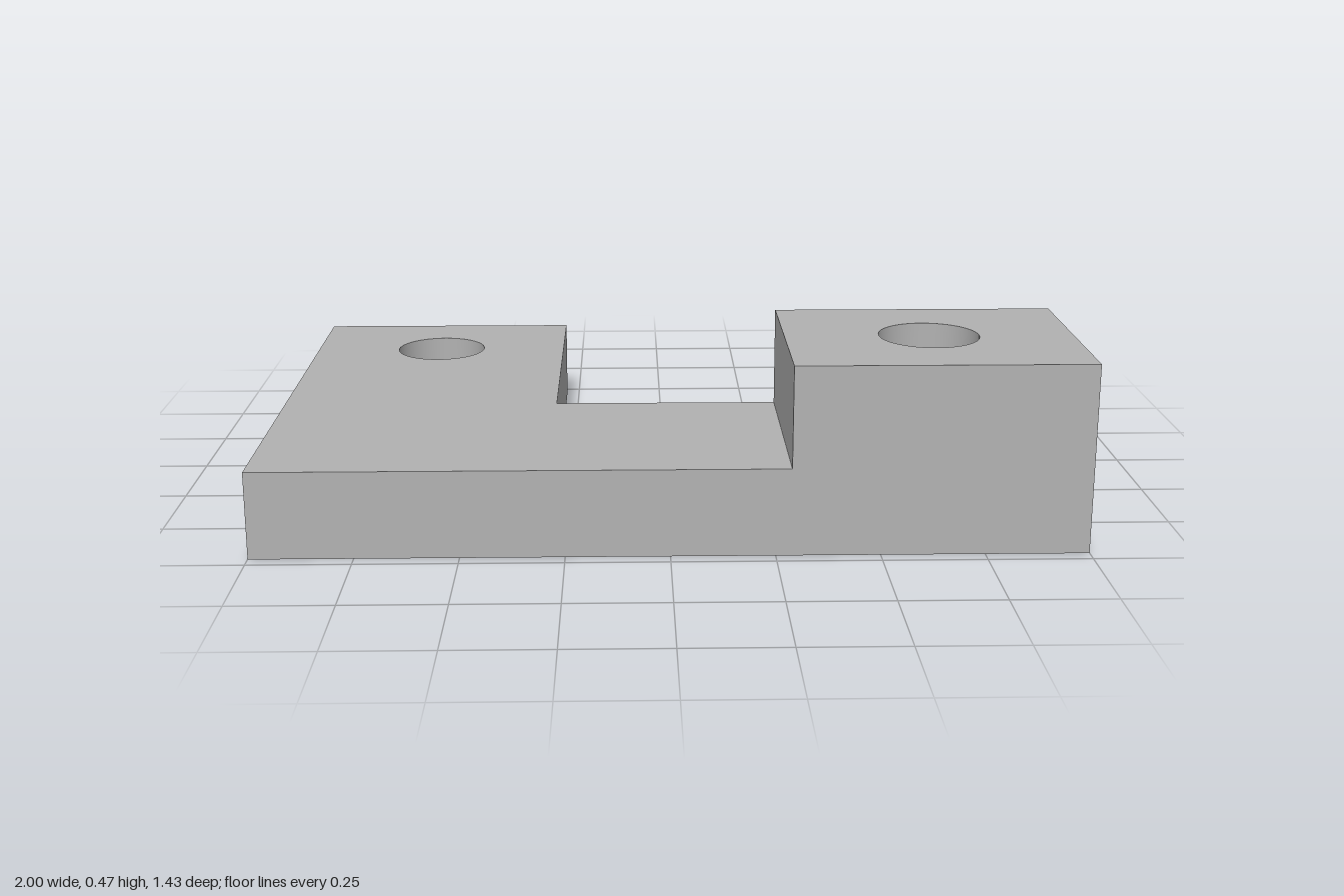
import * as THREE from 'three';
import { mergeGeometries } from 'three/addons/utils/BufferGeometryUtils.js';

// Main dimensions
const W = 1, D = 0.713;            // half width and half depth
const STEP = 0.286;                // inner edge of both arms in x
const CUT = 0.15;                  // back edge of the front arm in z
const PLATE = 0.216, TOP = 0.466;  // heights of plate and raised block
const POCKET = 0.25;               // depth of the hexagonal nut pocket
const R = 0.124, HEX = 0.235;      // bolt hole and pocket radii
const HOLE_A = [-0.643, -0.433], HOLE_B = [0.643, 0.427];

// Points of a circle or polygon in x, z, first corner towards +z
const ring = ([x, z], r, n) => Array.from({ length: n }, (_, i) => {
  const a = (i / n) * Math.PI * 2;
  return [x + r * Math.sin(a), z + r * Math.cos(a)];
});

// Flat face from an outline and holes, with the second coordinate scaled by s
function face(outline, holes = [], s = 1) {
  const v = (pts) => pts.map(([a, b]) => new THREE.Vector2(a, b * s));
  const shape = new THREE.Shape(v(outline));
  shape.holes = holes.map((h) => new THREE.Path(v(h)));
  return new THREE.ShapeGeometry(shape);
}
const faceUp = (y, outline, holes) => face(outline, holes, -1).rotateX(-Math.PI / 2).translate(0, y, 0);
const faceDown = (y, outline, holes) => face(outline, holes).rotateX(Math.PI / 2).translate(0, y, 0);

// Upright side wall looking along +x (dir 1) or -x (dir -1)
const sideWall = (x, z0, z1, y0, y1, dir) => new THREE.PlaneGeometry(z1 - z0, y1 - y0)
  .rotateY(dir * Math.PI / 2).translate(x, (y0 + y1) / 2, (z0 + z1) / 2);

// Inward-facing wall of a hole; profile runs downwards
const bore = ([x, z], r, y0, y1, n) => new THREE.LatheGeometry(
  [new THREE.Vector2(r, y1), new THREE.Vector2(r, y0)], n).translate(x, 0, z);

// Side profile with the raised block, starting at x0
const stepped = (x0) => [[x0, 0], [W, 0], [W, TOP], [STEP, TOP], [STEP, PLATE], [x0, PLATE]];

export function createModel() {
  const group = new THREE.Group();
  group.name = 'bracket';
  const grey = new THREE.MeshStandardMaterial({ color: 0xb2b2b2 });
  grey.name = 'grey';

  const add = (name, parts) => {
    const mesh = new THREE.Mesh(mergeGeometries(parts.map((g) => (g.index ? g.toNonIndexed() : g))), grey);
    mesh.name = name;
    group.add(mesh);
  };

  const roundA = ring(HOLE_A, R, 48), roundB = ring(HOLE_B, R, 48), hex = ring(HOLE_B, HEX, 6);
  const corner = [[-W, D], [-W, -D], [-STEP, -D], [-STEP, CUT]];

  // Six flat pocket walls
  const pocketWalls = bore(HOLE_B, HEX, 0, POCKET, 6).toNonIndexed();
  pocketWalls.computeVertexNormals();

  // One closed body: L-shaped plate with a raised block on the left arm
  add('bracketBody', [
    faceDown(0, [...corner, [W, CUT], [W, D]], [roundA, hex]),                 // underside
    faceUp(PLATE, [...corner, [STEP, CUT], [STEP, D]], [roundA]),              // plate top
    faceUp(TOP, [[STEP, CUT], [W, CUT], [W, D], [STEP, D]], [roundB]),         // block top
    face(stepped(-W)).translate(0, 0, D),                                      // front
    face(stepped(-STEP).map(([x, y]) => [-x, y])).rotateY(Math.PI).translate(0, 0, CUT), // arm back
    new THREE.PlaneGeometry(W - STEP, PLATE).rotateY(Math.PI)
      .translate(-(W + STEP) / 2, PLATE / 2, -D),                              // plate back
    sideWall(-W, -D, D, 0, PLATE, -1),
    sideWall(-STEP, -D, CUT, 0, PLATE, 1),
    sideWall(STEP, CUT, D, PLATE, TOP, -1),
    sideWall(W, CUT, D, 0, TOP, 1),
    bore(HOLE_A, R, 0, PLATE, 48),                                             // plate hole
    bore(HOLE_B, R, POCKET, TOP, 48),                                          // block hole
    pocketWalls,
    faceDown(POCKET, hex, [roundB]),                                           // pocket ceiling
  ]);
  return group;
}
